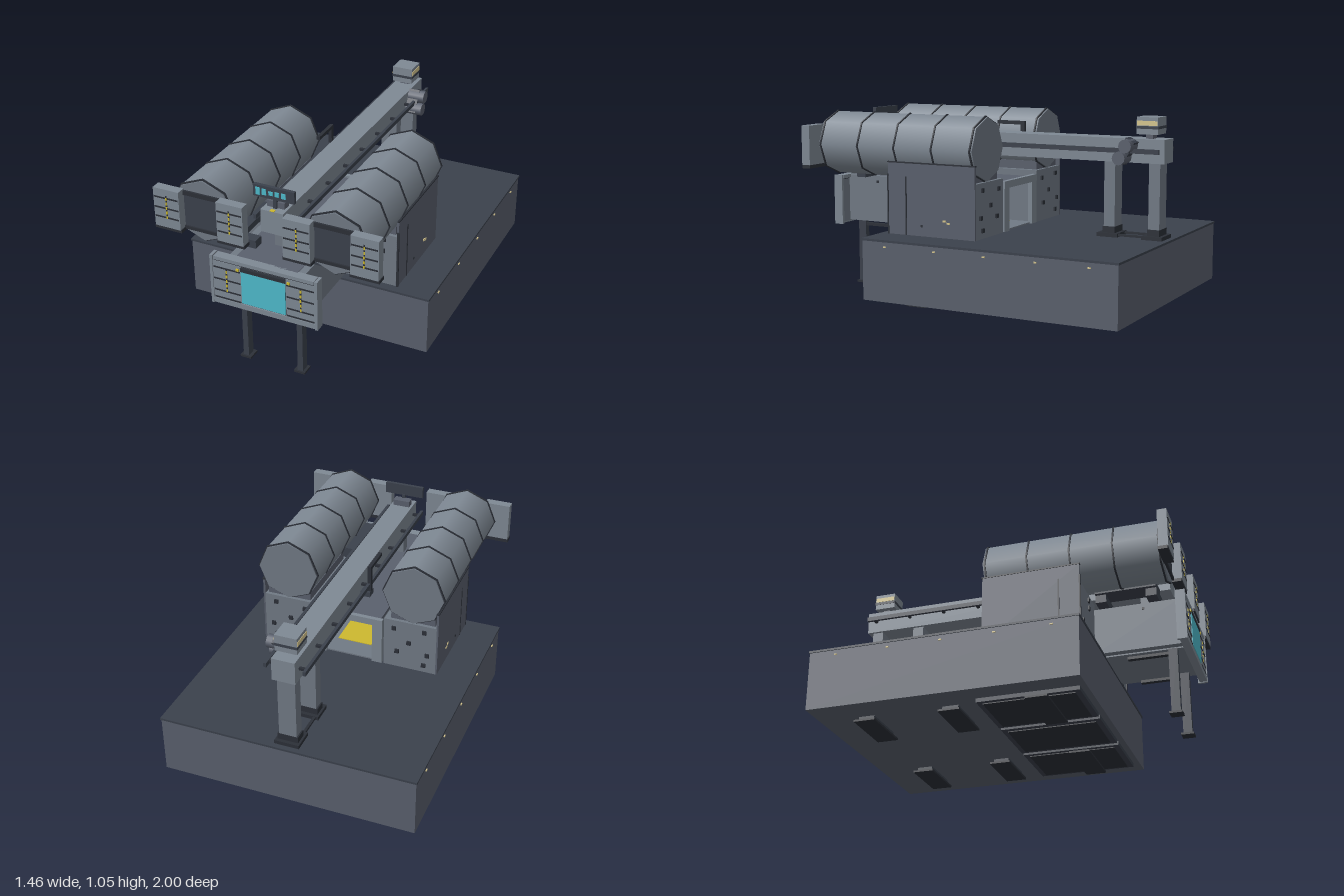
import * as THREE from 'three';

const mat = (name, color, side = THREE.FrontSide) => {
  const m = new THREE.MeshStandardMaterial({ color, side });
  m.name = name;
  return m;
};

export function createModel() {
  const root = new THREE.Group();
  root.name = 'dockingStation';
  const light = mat('lightGrey', 0x7f8994);
  const mid = mat('midGrey', 0x717a85);
  const slate = mat('slate', 0x5a606d);
  const dark = mat('charcoal', 0x3b414c);
  const trim = mat('blackTrim', 0x2c3038);
  const cyan = mat('cyanScreen', 0x4fbccd);
  const yellow = mat('yellowMark', 0xcdb92f);
  const cream = mat('creamLamp', 0xd8c890);

  const add = (name, geo, m, x = 0, y = 0, z = 0, parent = root) => {
    const mesh = new THREE.Mesh(geo, m);
    mesh.name = name;
    mesh.position.set(x, y, z);
    parent.add(mesh);
    return mesh;
  };
  // Box given by its lower and upper limits on each axis
  const box = (name, m, x0, x1, y0, y1, z0, z1, parent = root) =>
    add(name, new THREE.BoxGeometry(x1 - x0, y1 - y0, z1 - z0), m,
      (x0 + x1) / 2, (y0 + y1) / 2, (z0 + z1) / 2, parent);
  // The same box on both sides of x = 0
  const pair = (name, m, x0, x1, ...rest) => {
    box(name, m, x0, x1, ...rest);
    box(name, m, -x1, -x0, ...rest);
  };
  // Door leaf with grooves and a dashed yellow line
  const leaf = (name, x0, x1, y0, y1, z0, z1, dashX, grooves) => {
    box(name, light, x0, x1, y0, y1, z0, z1);
    for (const y of grooves) box(name + 'Groove', trim, x0 + 0.005, x1 - 0.005, y - 0.004, y + 0.004, z1 - 0.002, z1 + 0.003);
    const n = 5, a = y0 + 0.055, step = (y1 - y0 - 0.09) / n;
    for (let i = 0; i < n; i++) {
      box(name + 'Dash', yellow, dashX - 0.004, dashX + 0.004, a + i * step, a + (i + 0.6) * step, z1, z1 + 0.004);
      box(name + 'DashGap', trim, dashX - 0.004, dashX + 0.004, a + (i + 0.6) * step, a + (i + 1) * step, z1, z1 + 0.003);
    }
  };

  // Base block, deck and marker lights
  box('base', slate, -0.725, 0.725, 0.04, 0.375, -0.995, 0.515);
  box('deck', dark, -0.73, 0.73, 0.372, 0.384, -1, 0.52);
  for (const z of [0.37, 0.06, -0.24, -0.54, -0.84]) pair('markerLight', cream, 0.724, 0.731, 0.341, 0.348, z - 0.008, z + 0.008);

  // Skids and feet below the base
  pair('skid', dark, 0.22, 0.6, 0.018, 0.041, -0.08, 0.48);
  pair('skidPlate', trim, 0.245, 0.575, 0.013, 0.02, -0.05, 0.45);
  box('middleSkid', dark, -0.19, 0.19, 0.018, 0.041, -0.08, 0.48);
  box('middleSkidPlate', trim, -0.16, 0.16, 0.013, 0.02, -0.05, 0.45);
  for (const z of [0.25, -0.24, -0.72]) {
    pair('footNeck', dark, 0.29, 0.55, 0.01, 0.041, z - 0.045, z + 0.045);
    pair('foot', trim, z > 0 ? 0.225 : 0.26, z > 0 ? 0.61 : 0.58, 0.003, 0.014, z - 0.06, z + 0.06);
  }

  // Front legs
  pair('frontLeg', dark, 0.148, 0.18, 0.005, 0.38, 0.865, 0.915);
  pair('frontLegFoot', trim, 0.13, 0.195, 0, 0.012, 0.855, 0.925);
  pair('legBrace', trim, 0.15, 0.178, 0.348, 0.364, 0.64, 0.88);

  // Central tunnel, open at the back
  pair('tunnelWall', mid, 0.165, 0.18, 0.384, 0.655, -0.07, 0.95);
  box('tunnelRoof', slate, -0.18, 0.18, 0.64, 0.658, -0.07, 0.95);
  box('tunnelFloor', mid, -0.18, 0.18, 0.376, 0.392, -0.07, 0.95);
  box('floorMark', yellow, -0.12, 0.12, 0.392, 0.396, 0.05, 0.6);
  pair('tunnelBackFrame', light, 0.14, 0.2, 0.384, 0.67, -0.085, -0.06);
  box('tunnelBackLintel', light, -0.2, 0.2, 0.63, 0.67, -0.086, -0.06);
  pair('tunnelFairing', mid, 0.18, 0.22, 0.384, 0.655, 0.47, 0.95);
  pair('sideWindow', trim, 0.218, 0.223, 0.615, 0.63, 0.74, 0.755);

  // Front gate with screen
  box('gate', mid, -0.3, 0.3, 0.38, 0.64, 0.95, 0.98);
  box('gateBeam', light, -0.29, 0.29, 0.638, 0.658, 0.94, 0.992);
  box('gateBeamLine', trim, -0.29, 0.29, 0.632, 0.639, 0.95, 0.988);
  pair('gatePost', light, 0.295, 0.311, 0.368, 0.66, 0.94, 0.995);
  box('gateSill', light, -0.295, 0.295, 0.372, 0.402, 0.95, 0.993);
  for (const s of [-1, 1]) {
    const a = s * 0.13, b = s * 0.295;
    leaf('gateLeaf', Math.min(a, b), Math.max(a, b), 0.4, 0.632, 0.96, 0.99, s * 0.215, [0.595, 0.525, 0.455, 0.41]);
  }
  box('screenHood', trim, -0.13, 0.13, 0.605, 0.625, 0.97, 0.997);
  box('screenSurround', trim, -0.132, 0.132, 0.405, 0.61, 0.97, 0.989);
  box('screen', cyan, -0.128, 0.128, 0.41, 0.604, 0.989, 0.994);
  pair('gateLamp', yellow, 0.14, 0.155, 0.602, 0.615, 0.99, 0.997);

  // Side towers with hatches
  pair('tower', mid, 0.21, 0.52, 0.384, 0.69, -0.08, 0.47);
  pair('towerSidePlate', slate, 0.518, 0.53, 0.384, 0.785, -0.08, 0.47);
  pair('towerPlateEdge', trim, 0.517, 0.533, 0.783, 0.79, -0.085, 0.475);
  pair('towerFrontEdge', trim, 0.522, 0.533, 0.384, 0.72, 0.468, 0.476);
  pair('towerSlit', trim, 0.528, 0.533, 0.384, 0.71, 0.35, 0.358);
  pair('towerLamp', cream, 0.529, 0.534, 0.473, 0.483, 0.1, 0.12);
  pair('towerLamp', cream, 0.529, 0.534, 0.462, 0.472, 0.075, 0.095);
  pair('towerHatch', trim, 0.529, 0.534, 0.435, 0.448, 0.25, 0.262);
  const hatch = (x, y, z) => box('hatch', trim, x - 0.012, x + 0.012, y - 0.012, y + 0.012, z - 0.006, z + 0.006);
  for (const [x, y] of [[-0.35, 0.65], [-0.345, 0.605], [-0.465, 0.475], [-0.35, 0.445],
    [0.33, 0.63], [0.445, 0.66], [0.44, 0.59], [0.425, 0.485]]) hatch(x, y, 0.472);
  for (const s of [-1, 1]) for (const [x, y] of [[0.27, 0.64], [0.45, 0.65], [0.36, 0.56],
    [0.29, 0.49], [0.47, 0.5], [0.45, 0.43]]) hatch(s * x, y, -0.084);

  // Eight-sided storage drums with doors
  for (const s of [-1, 1]) {
    const cx = s * 0.375, cy = 0.865;
    const drum = new THREE.CylinderGeometry(0.178, 0.178, 0.97, 8).rotateX(Math.PI / 2);
    add('drum', drum, light, cx, cy, 0.425);
    for (const z of [0.91, 0.66, 0.42, 0.18, -0.06]) {
      add('drumBand', new THREE.CylinderGeometry(0.184, 0.184, 0.009, 8, 1).rotateX(Math.PI / 2), trim, cx, cy, z);
    }
    for (const z of [-0.068, 0.918])
      add('drumEnd', new THREE.CylinderGeometry(0.176, 0.176, 0.01, 8).rotateX(Math.PI / 2), mid, cx, cy, z);
    box('drumHatch', dark, cx - 0.11, cx + 0.11, 0.755, 0.945, 0.918, 0.926);
    box('drumHatchHood', trim, cx - 0.11, cx + 0.11, 0.943, 0.967, 0.918, 0.935);
    box('drumHatchSill', trim, cx - 0.11, cx + 0.11, 0.742, 0.76, 0.918, 0.935);
    for (const t of [-1, 1]) {
      const a = cx + t * 0.11, b = cx + t * 0.262;
      const x0 = Math.min(a, b), x1 = Math.max(a, b);
      leaf('drumDoor', x0, x1, 0.75, 0.975, 0.925, 0.978, cx + t * 0.185, [0.925, 0.865, 0.81]);
      box('drumDoorRail', trim, x0 - 0.004, x1 + 0.004, 0.733, 0.752, 0.922, 0.975);
    }
    // Saddles between drum, tunnel and tower
    for (const z of [0.53, 0.81]) box('saddle', dark, s * 0.21 - 0.09, s * 0.21 + 0.09, 0.655, 0.705, z - 0.03, z + 0.03);
    box('saddleTop', dark, s * 0.26 - 0.06, s * 0.26 + 0.06, 0.7, 0.735, 0.5, 0.84);
    box('drumCradle', slate, cx - 0.13, cx + 0.13, 0.685, 0.74, -0.06, 0.45);
  }

  // Overhead beam, rails and brackets
  box('beam', light, -0.065, 0.065, 0.8, 0.93, -0.975, 0.875);
  box('beamMark', yellow, -0.012, 0.012, 0.93, 0.933, 0.855, 0.875);
  pair('rail', dark, 0.1, 0.116, 0.855, 0.88, -0.96, 0.86);
  for (let i = 0; i < 9; i++) {
    const z = -0.92 + i * 0.217;
    pair('railBracket', trim, 0.06, 0.104, 0.86, 0.874, z - 0.008, z + 0.008);
  }
  box('beamFrontPost', mid, -0.05, 0.05, 0.655, 0.802, 0.7, 0.76);
  for (const z of [-0.655, -0.915]) {
    box('rearPost', mid, -0.05, 0.05, 0.39, 0.802, z - 0.032, z + 0.032);
    box('rearPostFoot', trim, -0.058, 0.058, 0.384, 0.44, z - 0.035, z + 0.035);
    box('rearPostFlange', trim, -0.07, 0.07, 0.384, 0.405, z - 0.055, z + 0.065);
  }
  pair('rearPostTie', trim, 0.04, 0.055, 0.39, 0.402, -0.92, -0.65);

  // Tilted motor on the beam
  const motor = new THREE.Group();
  motor.name = 'motor';
  motor.position.set(0.11, 0.865, -0.77);
  motor.rotation.x = -0.5;
  root.add(motor);
  box('motorArm', dark, -0.045, 0.02, -0.07, 0.07, -0.028, 0.028, motor);
  for (const y of [-0.04, 0.035])
    add('motorDrum', new THREE.CylinderGeometry(0.037, 0.037, 0.1, 12).rotateZ(Math.PI / 2), slate, 0.005, y, 0, motor);

  // Sensor head at the rear end
  box('sensorNeck', slate, -0.03, 0.03, 0.928, 0.957, -0.895, -0.855);
  box('sensorHead', light, -0.062, 0.062, 0.955, 1.048, -0.935, -0.813);
  box('sensorBand', dark, -0.064, 0.064, 0.985, 1, -0.937, -0.811);
  box('sensorLamp', cream, -0.0645, 0.0645, 1.003, 1.028, -0.932, -0.816);

  // Status display at the front end
  box('displayStem', dark, -0.01, 0.01, 0.93, 0.99, 0.82, 0.84);
  box('displayFoot', slate, -0.05, 0.05, 0.93, 0.965, 0.78, 0.83);
  box('display', dark, -0.12, 0.115, 0.983, 1.05, 0.825, 0.845);
  [[-0.092, 0.042], [-0.056, 0.036], [-0.018, 0.022], [0.017, 0.028], [0.055, 0.03]].forEach(([x, h], i) =>
    box('displayLight', cyan, x - 0.012, x + 0.012, 1.016 - h / 2 + (i % 2) * 0.002, 1.016 + h / 2, 0.844, 0.849));

  // Bent handle beside the beam
  box('handlePole', trim, -0.12, -0.1, 0.8, 0.985, -0.055, -0.03);
  box('handleArm', trim, -0.12, -0.1, 0.965, 0.985, -0.055, 0.12);
  box('handleMount', dark, -0.12, -0.06, 0.8, 0.83, -0.07, -0.015);

  return root;
}
